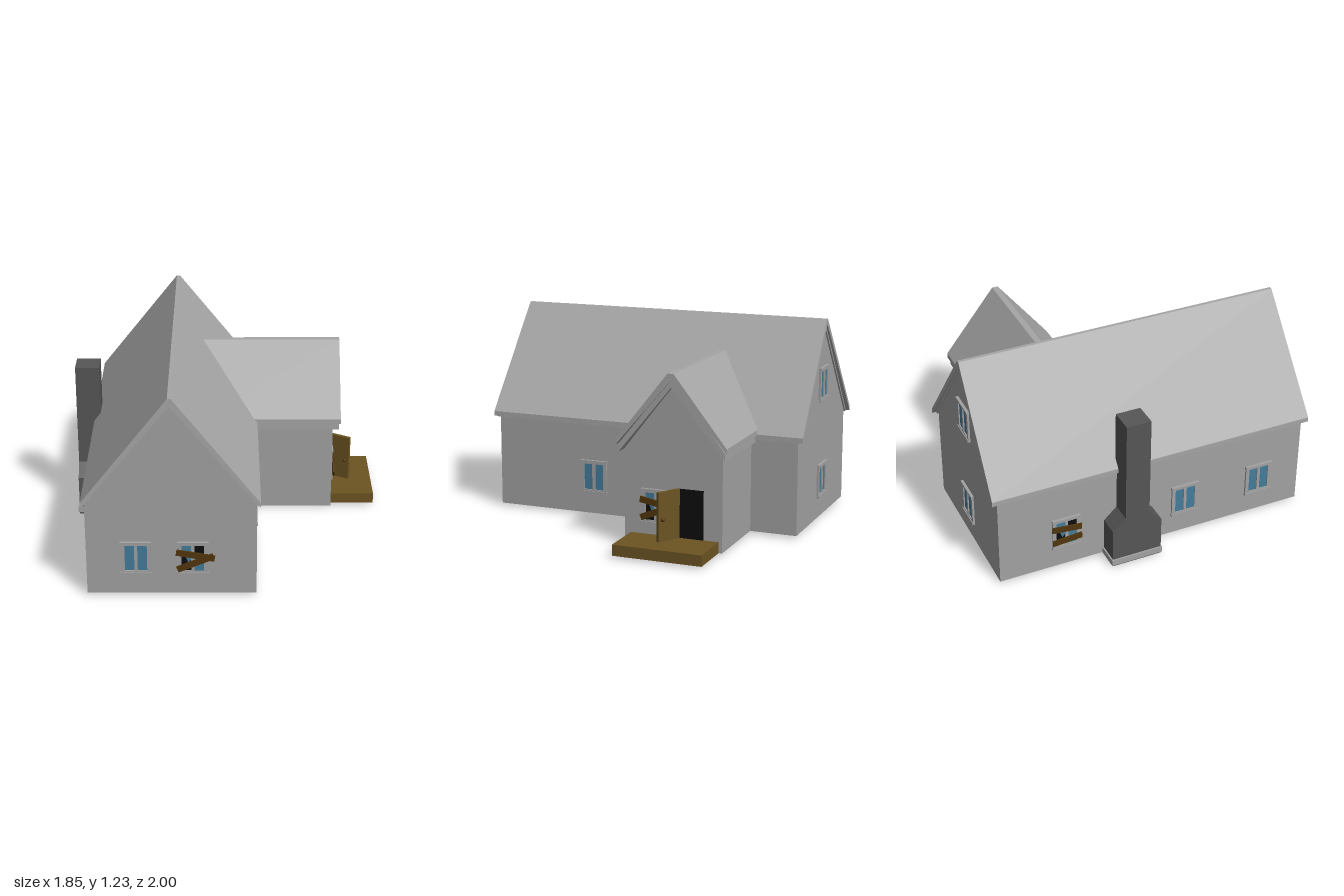
import * as THREE from 'three';

const mat = (name, color) => {
  const m = new THREE.MeshStandardMaterial({ color });
  m.name = name;
  return m;
};

export function createModel() {
  const wallGrey = mat('wall grey', 0xa2a2a2);
  const roofGrey = mat('roof grey', 0xa6a6a6);
  const chimneyGrey = mat('chimney grey', 0x565656);
  const porchWood = mat('porch wood', 0x6c5422);
  const plankWood = mat('plank wood', 0x51360d);
  const glassBlue = mat('glass blue', 0x437c9b);
  const black = mat('dark opening', 0x0d0d0d);
  const house = new THREE.Group();
  house.name = 'house';

  const add = (parent, name, geometry, material, x = 0, y = 0, z = 0) => {
    const m = new THREE.Mesh(geometry, material);
    m.name = name;
    m.position.set(x, y, z);
    parent.add(m);
    return m;
  };
  const box = (parent, name, material, w, h, d, x, y, z) =>
    add(parent, name, new THREE.BoxGeometry(w, h, d), material, x, y, z);
  const poly = pts => new THREE.Shape(pts.map(p => new THREE.Vector2(...p)));
  const extrude = (shape, depth) =>
    new THREE.ExtrudeGeometry(shape, { depth, bevelEnabled: false });

  // Gabled walls and roof slabs share these cross-sections
  const gable = (half, base, eave, apex) =>
    poly([[-half, base], [half, base], [half, eave], [0, apex], [-half, eave]]);
  const slab = (half, eaveTop, eaveLow, apex, apexLow, cap) =>
    poly([[-half, eaveLow], [0, apexLow], [half, eaveLow], [half, eaveTop],
      [cap, apex], [-cap, apex], [-half, eaveTop]]);

  // Main block; the roof ends lean in slightly towards the ridge
  const mainX = -0.31;
  add(house, 'mainWalls', extrude(gable(0.48, 0.016, 0.59, 1.185), 1.93), wallGrey, mainX, 0, -0.965);
  const roof = extrude(slab(0.5, 0.607, 0.578, 1.23, 1.197, 0.01), 2).translate(0, 0, -1);
  const p = roof.attributes.position;
  for (let i = 0; i < p.count; i++)
    p.setZ(i, p.getZ(i) * (1 - 0.015 * (p.getY(i) - 0.578) / 0.652));
  roof.computeVertexNormals();
  add(house, 'mainRoof', roof, roofGrey, mainX);
  add(house, 'mainRoofTrim', extrude(slab(0.49, 0.592, 0.572, 1.2, 1.178, 0.005), 1.95),
    roofGrey, mainX, 0, -0.975);

  // Side wing, extruded along +x
  const wing = new THREE.Group();
  wing.name = 'wing';
  wing.position.z = -0.384;
  wing.rotation.y = Math.PI / 2;
  house.add(wing);
  add(wing, 'wingWalls', extrude(gable(0.297, 0.016, 0.573, 0.955), 0.655), wallGrey);
  add(wing, 'wingRoof', extrude(slab(0.335, 0.63, 0.6, 1.03, 0.99, 0.018), 0.84), roofGrey, 0, 0, -0.14);
  add(wing, 'wingRoofTrim', extrude(slab(0.322, 0.602, 0.556, 0.995, 0.95, 0.005), 0.74), roofGrey, 0, 0, -0.05);

  // Chimney with sloping shoulders, on a small plinth
  const stack = poly([[-0.153, 0], [0.153, 0], [0.153, 0.25], [0.075, 0.325],
    [0.075, 0.957], [-0.075, 0.957], [-0.075, 0.325], [-0.153, 0.25]]);
  add(house, 'chimney', extrude(stack, 0.145), chimneyGrey, -0.915, 0, -0.163).rotation.y = Math.PI / 2;
  box(house, 'chimneyPlinth', wallGrey, 0.155, 0.036, 0.32, -0.8475, 0.031, -0.165);

  // Windows: two-light frame, glass plates, optional breakage and boards
  const rect = (cls, cx, w, h) => {
    const s = new cls();
    s.moveTo(cx - w / 2, -h / 2);
    s.lineTo(cx + w / 2, -h / 2);
    s.lineTo(cx + w / 2, h / 2);
    s.lineTo(cx - w / 2, h / 2);
    s.closePath();
    return s;
  };
  const frameShape = rect(THREE.Shape, 0, 0.17, 0.19);
  frameShape.holes.push(rect(THREE.Path, -0.036, 0.054, 0.16), rect(THREE.Path, 0.036, 0.054, 0.16));
  const frameGeo = extrude(frameShape, 0.012);
  const shards = [
    [[-0.027, 0.08], [-0.027, 0.03], [0.0, 0.0], [0.01, -0.03], [0.027, -0.01], [0.027, 0.08]],
    [[-0.027, -0.08], [0.027, -0.08], [0.027, 0.0], [0.005, 0.02], [-0.01, -0.005], [-0.027, 0.03]],
  ];
  const crossed = [[0.015, 0.022, -0.18], [0.015, -0.022, 0.4]];
  const level = [[0, 0.035, -0.1], [0, -0.04, 0.08]];

  const windowAt = (x, y, z, turn, boards) => {
    const g = new THREE.Group();
    g.name = boards ? 'boardedWindow' : 'window';
    g.position.set(x, y, z);
    g.rotation.y = turn;
    house.add(g);
    add(g, 'windowFrame', frameGeo, wallGrey);
    for (const s of [-1, 1]) {
      box(g, 'windowRail', wallGrey, 0.176, 0.014, 0.017, 0, s * 0.096, 0.0085);
      box(g, 'pane', boards ? black : glassBlue, 0.054, 0.16, 0.004, s * 0.036, 0, 0.003);
      if (boards)
        add(g, 'brokenGlass', extrude(poly(shards[s < 0 ? 0 : 1]), 0.002), glassBlue, s * 0.036, 0, 0.005);
    }
    (boards || []).forEach(([bx, by, tilt], i) => {
      const length = boards === crossed ? 0.22 : 0.18;
      box(g, 'board', plankWood, length, 0.036, 0.01, bx, by, 0.019 + i * 0.005).rotation.z = tilt;
    });
  };
  const right = Math.PI / 2, wy = 0.247;
  windowAt(-0.51, wy, 0.965, 0);
  windowAt(-0.19, wy, 0.965, 0, crossed);
  windowAt(0.17, wy, 0.328, right);
  windowAt(0.655, wy, -0.282, right, crossed);
  windowAt(-0.79, wy, 0.69, -right);
  windowAt(-0.79, wy, 0.2, -right);
  windowAt(-0.79, wy, -0.555, -right, level);
  windowAt(mainX, wy, -0.965, Math.PI);
  windowAt(mainX, 0.84, -0.965, Math.PI);

  // Porch slab, dark doorway and the open door on its hinge
  box(house, 'porch', porchWood, 0.285, 0.065, 0.535, 0.7825, 0.0475, -0.392);
  box(house, 'doorway', black, 0.008, 0.29, 0.145, 0.656, 0.222, -0.496);
  const door = new THREE.Group();
  door.name = 'door';
  door.position.set(0.655, 0.08, -0.417);
  door.rotation.y = -Math.PI / 6;
  house.add(door);
  box(door, 'doorLeaf', porchWood, 0.15, 0.287, 0.022, 0.075, 0.1435, 0);
  for (const s of [-1, 1])
    add(door, 'doorKnob', new THREE.SphereGeometry(0.012, 12, 8), plankWood, 0.128, 0.13, s * 0.02);

  return house;
}
